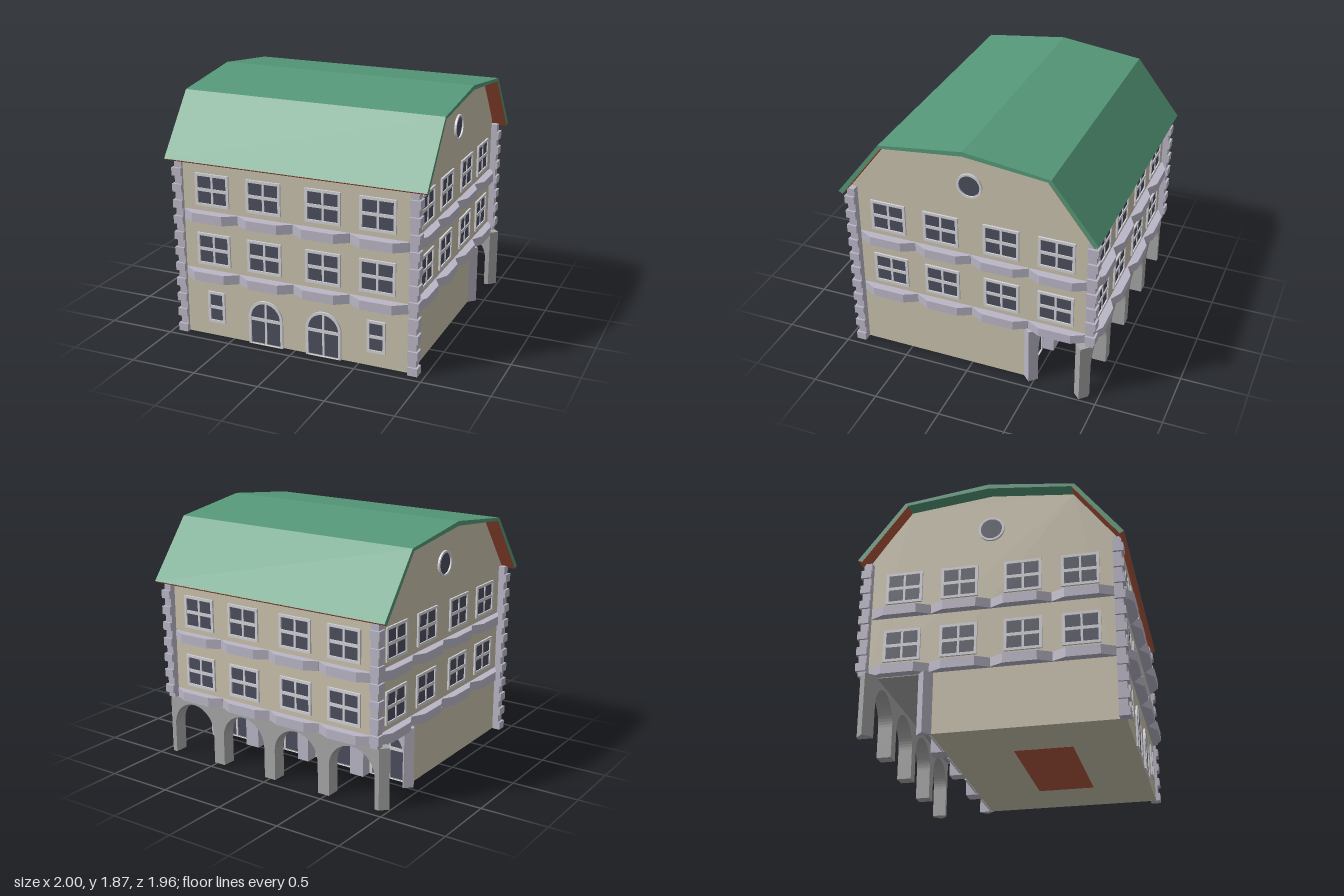
import * as THREE from 'three';

const mat = (color, side = THREE.FrontSide) =>
  new THREE.MeshStandardMaterial({ color, side, flatShading: true });
const wallMat = mat(0xc9c1ac), stoneMat = mat(0xbab6c6), pierMat = mat(0xa6a6a6);
const frameMat = mat(0xd2d2d8), glassMat = mat(0x4b4e5d), roofMat = mat(0x559878), redMat = mat(0xb2573e);
const C = -0.01; // z of the building's centre line

function add(parent, name, geo, material, x = 0, y = 0, z = 0) {
  const mesh = new THREE.Mesh(geo, material);
  mesh.name = name;
  mesh.position.set(x, y, z);
  parent.add(mesh);
  return mesh;
}
const box = (w, h, d) => new THREE.BoxGeometry(w, h, d);
const extrude = (shape, depth) =>
  new THREE.ExtrudeGeometry(shape, { depth, bevelEnabled: false, curveSegments: 14 });
const polygon = pts => new THREE.Shape(pts.map(p => new THREE.Vector2(p[0], p[1])));

// Prism with a (z, y) profile, running along x
function alongX(pts, length) {
  return extrude(polygon(pts), length).rotateY(-Math.PI / 2).translate(length / 2, 0, 0);
}
// Prism with an (x, z) plan, standing upright
function upright(pts, height) {
  return extrude(polygon(pts.map(([x, z]) => [x, -z])), height).rotateX(-Math.PI / 2);
}

// Rectangle, or rectangle with a round head, standing on y = y0
function opening(Type, w, h, arched, x = 0, y0 = 0) {
  const s = new Type(), r = w / 2;
  s.moveTo(x - r, y0);
  s.lineTo(x + r, y0);
  if (arched) {
    s.lineTo(x + r, y0 + h - r);
    s.absarc(x, y0 + h - r, r, 0, Math.PI, false);
  } else {
    s.lineTo(x + r, y0 + h);
    s.lineTo(x - r, y0 + h);
  }
  s.closePath();
  return s;
}

// Framed window or door; its base is at (x, y) and its back at z
function glazing(parent, name, x, y, z, w, h, { arched = false, upBar = true, barY = h / 2, door = false } = {}) {
  const g = new THREE.Group(), t = 0.02, foot = door ? 0 : t;
  g.name = name;
  g.position.set(x, y, z);
  const outer = opening(THREE.Shape, w, h, arched);
  outer.holes.push(opening(THREE.Path, w - 2 * t, h - t - (foot || 0.002), arched, 0, foot || 0.002));
  add(g, 'frame', extrude(outer, 0.014), frameMat);
  add(g, 'glass', extrude(opening(THREE.Shape, w - t, h - t, arched, 0, t / 2), 0.004), glassMat);
  add(g, 'crossBar', box(w - 2 * t, 0.024, 0.01), frameMat, 0, barY, 0.006);
  if (upBar) add(g, 'uprightBar', box(0.016, h - t, 0.01), frameMat, 0, h / 2, 0.005);
  parent.add(g);
}

// Two storeys of windows and bowed string courses on one side
function facade(name, depth) {
  const g = new THREE.Group();
  g.name = name;
  for (const y of [0.565, 1.02])
    for (const x of [-0.64, -0.23, 0.23, 0.64]) glazing(g, 'window', x, y, 0, 0.27, 0.245);
  for (const y of [0.455, 0.91])
    for (const x of [-0.653, -0.2175, 0.2175, 0.653])
      add(g, 'stringCourse', upright([
        [-0.217, -0.02], [-0.217, 0.012], [-0.12, depth], [0.12, depth], [0.217, 0.012], [0.217, -0.02],
      ], 0.07), stoneMat, x, y, 0);
  return g;
}

// Four round arches on piers, with pointed ends
function arcade(name, half, material) {
  const g = new THREE.Group(), d = 0.106, h = 0.455;
  g.name = name;
  const pts = [[-half, 0]];
  const s = new THREE.Shape();
  s.moveTo(...pts[0]);
  for (const x of [-0.7125, -0.2375, 0.2375, 0.7125]) {
    const r = Math.min(0.19, half - 0.01 - Math.abs(x));
    s.lineTo(x - r, 0);
    s.lineTo(x - r, 0.42 - r);
    s.absarc(x, 0.42 - r, r, Math.PI, 0, true);
    s.lineTo(x + r, 0);
  }
  s.lineTo(half, 0);
  s.lineTo(half, h);
  s.lineTo(-half, h);
  s.closePath();
  add(g, 'arches', extrude(s, d), material, 0, 0, -d / 2);
  for (const k of [-1, 1]) {
    const tip = [[0, -d / 2], [0, d / 2], [k * d / 2, 0]];
    add(g, 'pierPoint', upright(k > 0 ? tip : tip.reverse(), h), material, k * half, 0, 0);
  }
  return g;
}

export function createModel() {
  const house = new THREE.Group();
  house.name = 'house';

  // Walls with gables and a recessed porch at the back
  add(house, 'walls', alongX([
    [0.91, 0.002], [0.91, 1.36], [C + 0.61, 1.773], [C, 1.845], [C - 0.61, 1.773],
    [-0.905, 1.38], [-0.905, 0.455], [-0.42, 0.455], [-0.42, 0.002],
  ].reverse(), 1.78), wallMat);
  add(house, 'floorPanel', box(0.91, 0.003, 0.42), redMat, 0, 0.0015, 0.27);

  // Roof shell
  const outer = [[0.968, 1.353], [0.628, 1.789], [0, 1.868], [-0.628, 1.789], [-0.968, 1.353]];
  const inner = [[-0.937, 1.337], [-0.61, 1.768], [0, 1.834], [0.61, 1.768], [0.937, 1.337]];
  add(house, 'roof', alongX([...outer, ...inner].reverse(), 2), roofMat, 0, 0, C);
  for (const k of [-1, 1])
    add(house, 'soffit', alongX(
      [[0.967, 1.351], [0.937, 1.334], [0.607, 1.766], [0.614, 1.771]].map(([z, y]) => [k * z, y]),
      1.998), redMat, 0, 0, C);

  // Four sides
  const front = facade('frontFacade', 0.075);
  front.position.z = 0.91;
  const back = facade('backFacade', 0.062);
  back.rotation.y = Math.PI;
  back.position.z = -0.905;
  house.add(front, back);
  for (const k of [-1, 1]) {
    const side = facade(k > 0 ? 'leftFacade' : 'rightFacade', 0.062);
    side.rotation.y = k * Math.PI / 2;
    side.position.set(k * 0.89, 0, C);
    const ring = new THREE.Shape().absarc(0, 0, 0.095, 0, Math.PI * 2);
    ring.holes.push(new THREE.Path().absarc(0, 0, 0.079, 0, Math.PI * 2));
    add(side, 'roundWindowFrame', extrude(ring, 0.016), frameMat, 0, 1.55, 0);
    add(side, 'roundWindowGlass', new THREE.CircleGeometry(0.085, 28), glassMat, 0, 1.55, 0.004);
    house.add(side);

    // Ground floor of the front
    glazing(front, 'frontDoor', k * 0.23, 0, 0, 0.275, 0.35, { arched: true, barY: 0.2, door: true });
    glazing(front, 'smallWindow', k * 0.635, 0.11, 0, 0.14, 0.245, { upBar: false });
  }

  // Corner stones, alternating in size
  const step = 1.35 / 22;
  for (const kx of [-1, 1])
    for (const kz of [-1, 1])
      for (let i = 0; i < 22; i++) {
        const y0 = Math.max(i * step, kz < 0 ? 0.455 : 0), y1 = (i + 1) * step;
        if (y1 - y0 < 0.005) continue;
        const out = i % 2 ? 0.938 : 0.954, w = out - 0.878, mid = (out + 0.878) / 2;
        add(house, 'cornerStone', box(w, y1 - y0, w), stoneMat, kx * mid, (y0 + y1) / 2, C + kz * mid);
      }

  // Porch: outer arcade, inner arcade and the doors behind it
  const outerArcade = arcade('outerArcade', 0.937, pierMat);
  outerArcade.position.z = -0.873;
  const innerArcade = arcade('innerArcade', 0.89, stoneMat);
  innerArcade.position.z = -0.467;
  house.add(outerArcade, innerArcade);
  add(house, 'porchCeiling', box(1.77, 0.006, 0.48), pierMat, 0, 0.453, -0.663);
  const doors = new THREE.Group();
  doors.name = 'porchDoors';
  doors.rotation.y = Math.PI;
  doors.position.z = -0.42;
  for (const x of [-0.7125, -0.2375, 0.2375, 0.7125])
    glazing(doors, 'porchDoor', x, 0, 0.002, 0.33, 0.41, { arched: true, barY: 0.24, door: true });
  house.add(doors);

  return house;
}
